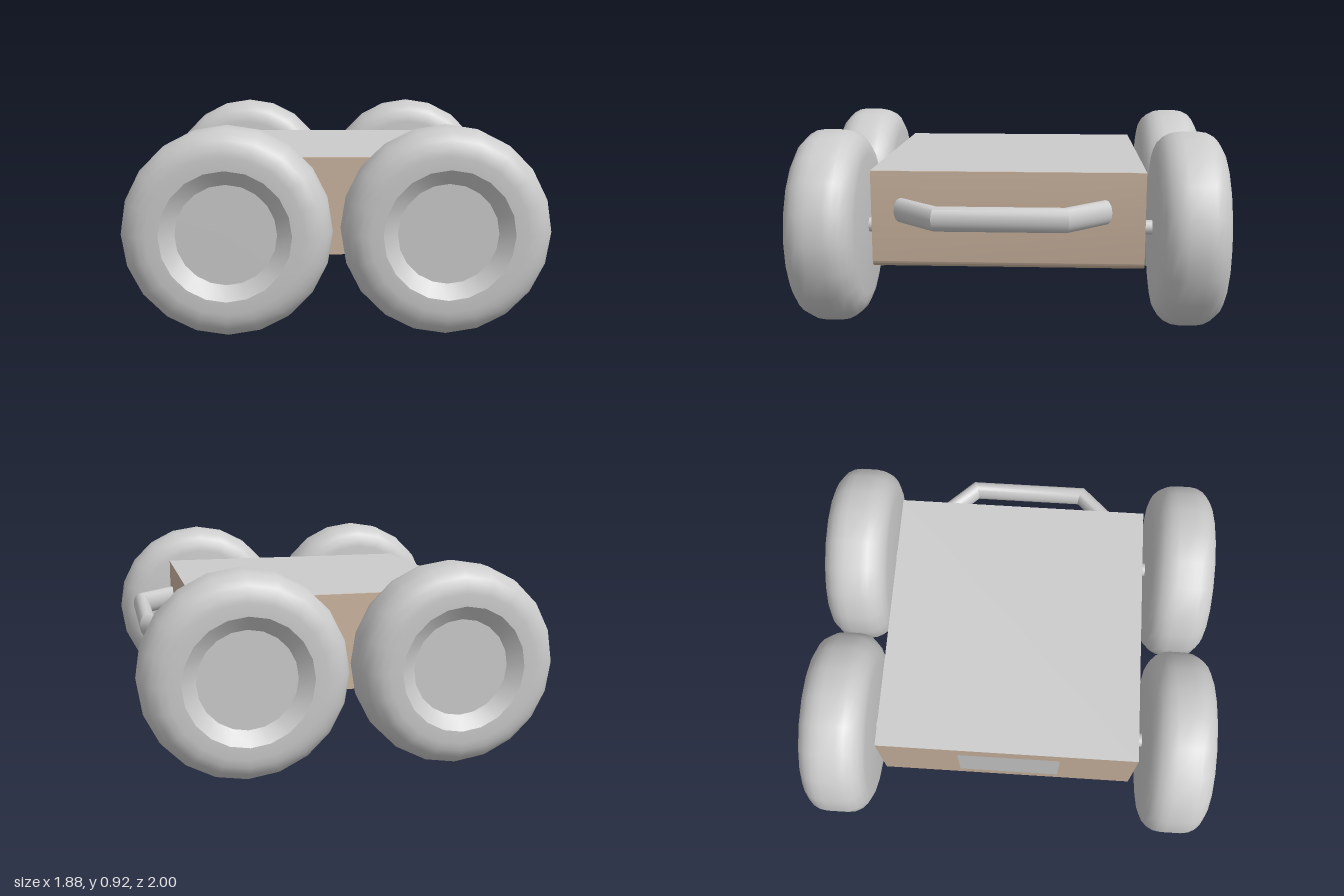
import * as THREE from 'three';
import { toCreasedNormals } from 'three/addons/utils/BufferGeometryUtils.js';

const grey = new THREE.MeshStandardMaterial({ color: 0xcccccc });
const tan = new THREE.MeshStandardMaterial({ color: 0xccb5a0 });

function part(name, geometry, material = grey) {
  const mesh = new THREE.Mesh(geometry, material);
  mesh.name = name;
  return mesh;
}

// Tyre and dished hub as one turned profile, outer face towards +z
function wheelGeometry() {
  const R = 0.462, w = 0.16, c = 0.12, dish = 0.045;
  const pts = [new THREE.Vector2(0, -w)];
  for (const side of [-1, 1]) {
    for (let i = 0; i <= 5; i++) {
      const a = (side < 0 ? i - 5 : i) * Math.PI / 10;
      pts.push(new THREE.Vector2(R - c + c * Math.cos(a), side * (w - c) + c * Math.sin(a)));
    }
  }
  pts.push(new THREE.Vector2(0.285, w), new THREE.Vector2(0.22, w - dish), new THREE.Vector2(0, w - dish));
  return toCreasedNormals(new THREE.LatheGeometry(pts, 20).rotateX(Math.PI / 2), 0.5);
}

// Oval bar swept along a bent path in the xz plane, with mitred corners
function barGeometry(path, y, halfWidth, halfHeight, sides = 20) {
  const pos = [], idx = [];
  path.forEach((p, i) => {
    const before = i > 0 ? p.clone().sub(path[i - 1]).normalize() : null;
    const after = i < path.length - 1 ? path[i + 1].clone().sub(p).normalize() : null;
    const dir = (before || after).clone().add(after || before).normalize();
    const stretch = 1 / dir.dot(before || after);
    for (let k = 0; k < sides; k++) {
      const a = k / sides * Math.PI * 2;
      const s = Math.cos(a) * halfWidth * stretch;
      pos.push(p.x + dir.y * s, y + Math.sin(a) * halfHeight, p.y - dir.x * s);
    }
  });
  for (let i = 0; i < path.length - 1; i++) {
    for (let k = 0; k < sides; k++) {
      const a = i * sides + k, b = i * sides + (k + 1) % sides;
      idx.push(a, b, b + sides, a, b + sides, a + sides);
    }
  }
  // End caps
  const last = (path.length - 1) * sides;
  for (let k = 1; k < sides - 1; k++) {
    idx.push(0, k + 1, k, last, last + k, last + k + 1);
  }
  const g = new THREE.BufferGeometry();
  g.setAttribute('position', new THREE.Float32BufferAttribute(pos, 3));
  g.setIndex(idx);
  return toCreasedNormals(g, 0.6);
}

export function createModel() {
  const model = new THREE.Group();
  model.name = 'fourWheeledCart';

  // Body, with a softened lower edge on the bumper end
  const X = 0.665, bottom = 0.302, top = 0.758, Z = 0.633, r = 0.037;
  const s = new THREE.Shape();
  s.moveTo(-X, bottom);
  s.lineTo(X - r, bottom);
  s.absarc(X - r, bottom + r, r, -Math.PI / 2, 0, false);
  s.lineTo(X, top);
  s.lineTo(-X, top);
  s.closePath();
  const hull = new THREE.ExtrudeGeometry(s, { depth: 2 * Z, bevelEnabled: false, curveSegments: 8 });
  model.add(part('body', toCreasedNormals(hull.translate(0, 0, -Z), 0.5), tan));

  // Grey deck on the top and panel on the end
  const deck = part('deck', new THREE.PlaneGeometry(2 * X, 2 * Z).rotateX(-Math.PI / 2));
  deck.position.y = top + 0.002;
  const panel = part('endPanel', new THREE.PlaneGeometry(0.5, 0.3).rotateY(-Math.PI / 2));
  panel.position.set(-X - 0.002, 0.525, 0.01);
  model.add(deck, panel);

  // Bumper
  const path = [[0.67, -0.45], [0.85, -0.265], [0.85, 0.31], [0.67, 0.495]]
    .map(([x, z]) => new THREE.Vector2(x, z));
  model.add(part('bumper', barGeometry(path, 0.577, 0.04, 0.057)));

  // Wheels and axle stubs
  const tyre = wheelGeometry();
  const stub = new THREE.CylinderGeometry(0.035, 0.035, 0.12, 16).rotateX(Math.PI / 2);
  for (const x of [-0.48, 0.48]) {
    for (const side of [-1, 1]) {
      const wheel = part('wheel', tyre);
      wheel.position.set(x, 0.464, side * 0.84);
      if (side < 0) wheel.rotation.y = Math.PI;
      const axle = part('axle', stub);
      axle.position.set(x, 0.464, side * 0.655);
      model.add(wheel, axle);
    }
  }
  return model;
}
